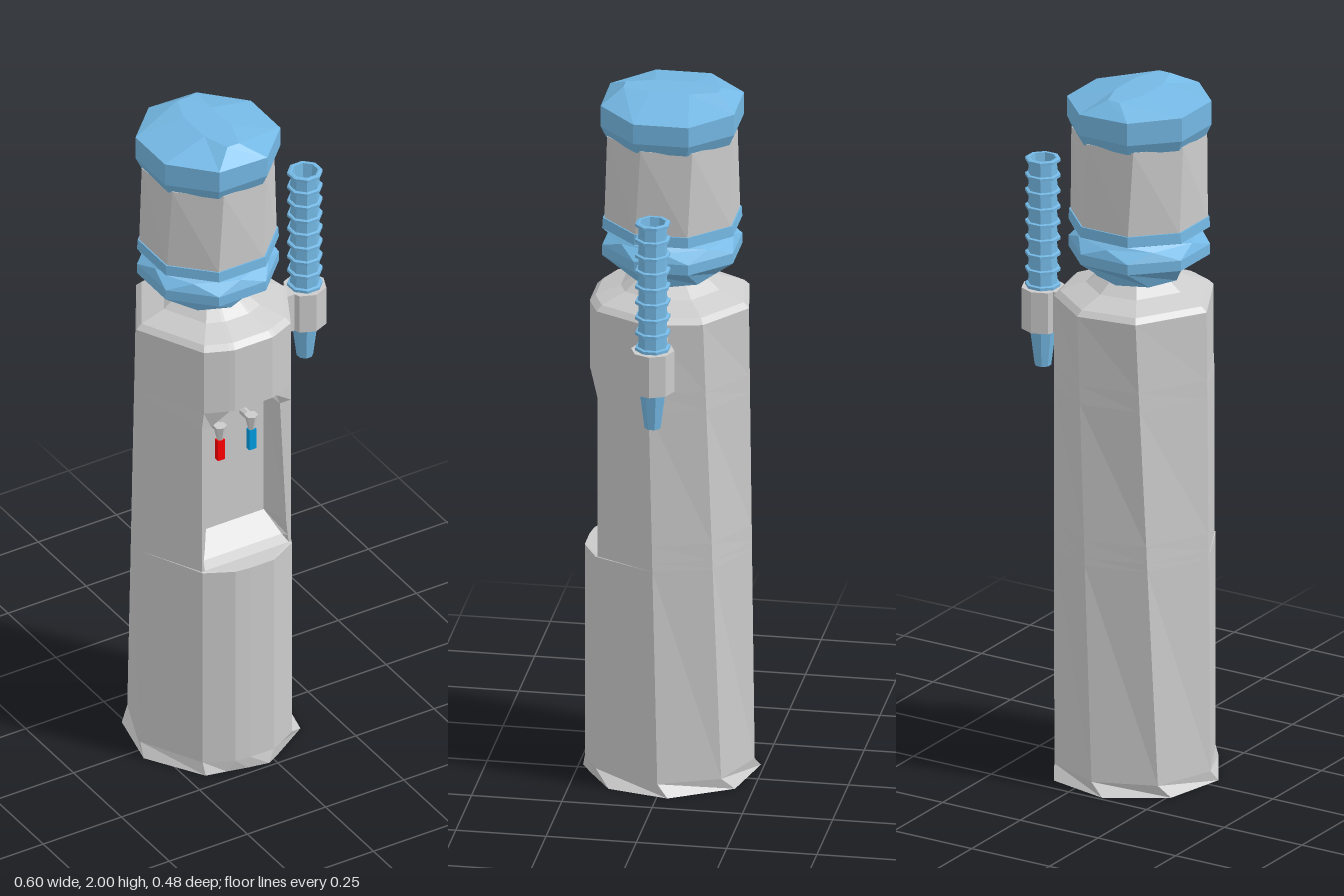
import * as THREE from 'three';

const mat = (color) => new THREE.MeshStandardMaterial({ color, flatShading: true, side: THREE.DoubleSide });
const grey = mat(0xcccccc), blue = mat(0x74b8e4), red = mat(0xff0000), cyan = mat(0x0099dd);

// Skin a list of equal-length rings of [x, y, z] points, closing both ends.
function loft(rings) {
  const n = rings[0].length, pos = rings.flat(2), index = [];
  for (let i = 0; i < rings.length - 1; i++) {
    for (let j = 0; j < n; j++) {
      const k = (j + 1) % n;
      const a = i * n + j, b = i * n + k, c = b + n, d = a + n;
      index.push(a, d, c, a, c, b);
    }
  }
  const top = (rings.length - 1) * n;
  for (let j = 1; j < n - 1; j++) index.push(0, j, j + 1, top, top + j + 1, top + j);
  const g = new THREE.BufferGeometry();
  g.setAttribute('position', new THREE.Float32BufferAttribute(pos, 3));
  g.setIndex(index);
  const flat = g.toNonIndexed();
  flat.computeVertexNormals();
  return flat;
}

function add(parent, name, geometry, material, x = 0, y = 0, z = 0) {
  const m = new THREE.Mesh(geometry, material);
  m.name = name;
  m.position.set(x, y, z);
  parent.add(m);
  return m;
}

// Eight-sided ring around the bottle axis; twist is in steps of one side.
const octagon = (y, r, twist = 0.5, sx = 1, sz = 1, tilt = 0) =>
  Array.from({ length: 8 }, (_, i) => {
    const a = ((i + twist) * Math.PI) / 4;
    const x = Math.cos(a) * r * sx;
    return [-0.07 + x, y - x * tilt, Math.sin(a) * r * sz];
  });

function cabinet() {
  // Back and sides, left to right round the back
  const foot = [[-0.3, 0.04], [-0.26, -0.14], [-0.1, -0.24], [0.08, -0.2], [0.18, -0.03]];
  const low = [[-0.293, 0.01], [-0.23, -0.16], [-0.06, -0.23], [0.1, -0.165], [0.168, 0]];
  const high = [[-0.293, -0.01], [-0.18, -0.195], [-0.01, -0.223], [0.13, -0.12], [0.162, 0.03]];
  const mix = (t) => low.map((p, i) => p.map((v, k) => v + (high[i][k] - v) * t));
  const ring = (y, sides, front) => [...sides, ...front].map(([x, z]) => [x, y, z]);

  const panel = [[0.085, 0.185], [0.03, 0.215], [0, 0.23], [-0.075, 0.23], [-0.12, 0.225], [-0.2, 0.185]];
  const brow = [[0.083, 0.183], [0.02, 0.21], [0.005, 0.215], [-0.115, 0.215], [-0.13, 0.21], [-0.195, 0.183]];
  // Front outline with a niche: half-width of mouth and back, depth of back
  const niche = (mouth, back, z) => [
    [0.085, 0.18], [-0.06 + mouth, 0.18], [-0.06 + back, z],
    [-0.06 - back, z], [-0.06 - mouth, 0.18], [-0.2, 0.18]];

  const rim = ring(1.385, high, brow);
  const shrink = (y, s) => rim.map(([x, , z]) => [-0.065 + (x + 0.065) * s, y, z * s]);
  return loft([
    ring(0, foot, [[0.14, 0.14], [0.03, 0.21], [-0.02, 0.238], [-0.08, 0.227], [-0.14, 0.213], [-0.2, 0.2]]),
    ring(0.035, low, panel),
    ring(0.66, mix(0.47), panel),
    ring(0.662, mix(0.47), niche(0.138, 0.13, 0.18)),
    ring(0.685, mix(0.49), niche(0.135, 0.125, 0.165)),
    ring(0.735, mix(0.52), niche(0.13, 0.107, 0.1)),
    ring(1.13, mix(0.82), niche(0.11, 0.107, 0.1)),
    ring(1.185, mix(0.86), brow),
    rim,
    shrink(1.4, 0.93),
    shrink(1.425, 0.62),
    shrink(1.46, 0.42),
  ]);
}

export function createModel() {
  const model = new THREE.Group();
  model.name = 'waterCooler';

  add(model, 'cabinet', cabinet(), grey);

  // Bottle: ribbed lower part, label band, faceted crown
  add(model, 'bottleLower', loft([
    octagon(1.455, 0.12, 0), octagon(1.52, 0.196, 0.5), octagon(1.55, 0.196, 0.5),
    octagon(1.575, 0.17, 0), octagon(1.6, 0.196, 0.5), octagon(1.63, 0.194, 0.5),
  ]), blue);
  add(model, 'bottleLabel', loft([
    octagon(1.625, 0.19), octagon(1.875, 0.186, 0.4),
  ]), grey);
  add(model, 'bottleCrown', loft([
    octagon(1.868, 0.185), octagon(1.9, 0.2), octagon(1.963, 0.2, 0.5, 1, 1, 0.03),
    octagon(1.998, 0.19, 0.5, 0.25, 0.75),
  ]), blue);

  // Hot and cold taps
  for (const [x, lever, name] of [[-0.12, red, 'hotTap'], [-0.02, cyan, 'coldTap']]) {
    const tap = new THREE.Group();
    tap.name = name;
    tap.position.set(x, 0, 0.1);
    model.add(tap);
    const spout = add(tap, 'spout', new THREE.CylinderGeometry(0.012, 0.012, 0.05, 6), grey, 0, 1.085, 0.02);
    spout.rotation.x = Math.PI / 2;
    add(tap, 'valve', new THREE.CylinderGeometry(0.019, 0.009, 0.045, 6), grey, 0, 1.075, 0.045);
    add(tap, 'lever', new THREE.BoxGeometry(0.022, 0.065, 0.016), lever, 0, 1.02, 0.045);
  }

  // Cup holder on the side
  const holder = new THREE.Group();
  holder.name = 'cupHolder';
  model.add(holder);
  const collar = new THREE.Shape(), bore = new THREE.Path();
  for (let i = 0; i < 8; i++) {
    const a = (i * Math.PI) / 4;
    collar[i ? 'lineTo' : 'moveTo'](Math.cos(a) * 0.06, Math.sin(a) * 0.06);
    bore[i ? 'lineTo' : 'moveTo'](Math.cos(-a) * 0.04, Math.sin(-a) * 0.04);
  }
  collar.holes.push(bore);
  const collarGeo = new THREE.ExtrudeGeometry(collar, { depth: 0.12, bevelEnabled: false });
  collarGeo.rotateX(-Math.PI / 2);
  add(holder, 'collar', collarGeo, grey, 0.24, 1.23, 0);
  add(holder, 'arm', new THREE.BoxGeometry(0.06, 0.12, 0.052), grey, 0.165, 1.29, 0);

  // Stack of cups: a tapered base, repeated rims, then the hollow of the top cup
  const profile = [[0, 1.12], [0.023, 1.12], [0.038, 1.24], [0.038, 1.35]];
  for (let i = 0; i < 9; i++) {
    const y = 1.355 + i * 0.0457;
    profile.push([0.039, y - 0.006], [0.049, y - 0.003], [0.049, y + 0.005], [0.041, y + 0.007]);
  }
  profile.push([0.036, 1.727], [0.021, 1.61], [0, 1.61]);
  add(holder, 'cupStack', new THREE.LatheGeometry(
    profile.map(([r, y]) => new THREE.Vector2(r, y)), 8, Math.PI / 8), blue, 0.24, 0, 0);

  return model;
}
